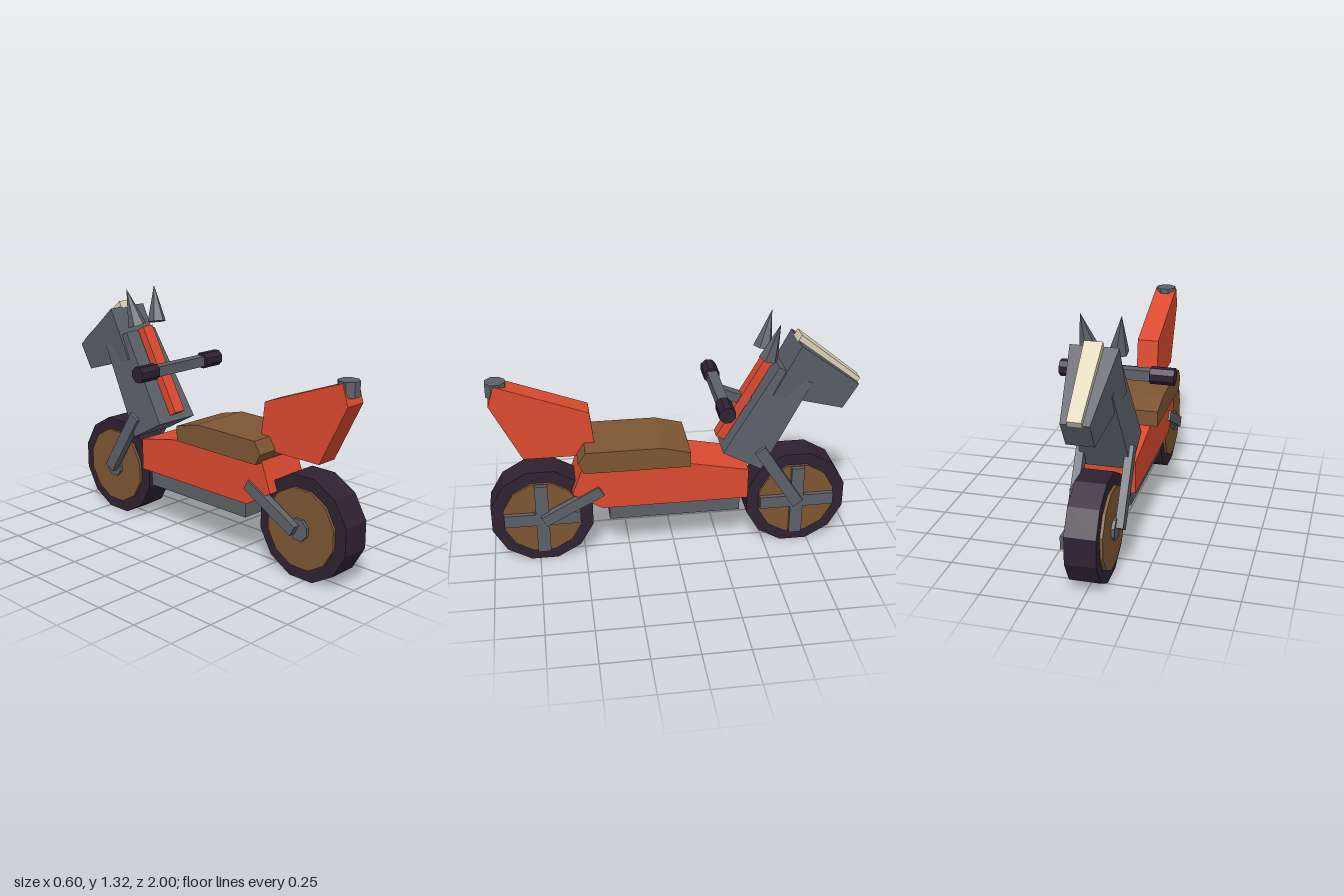
import * as THREE from 'three';
import { ConvexGeometry } from 'three/addons/geometries/ConvexGeometry.js';

const mat = (name, color) => new THREE.MeshStandardMaterial({ name, color, flatShading: true });

export function createModel() {
  const model = new THREE.Group();
  model.name = 'horseMotorcycle';
  const grey = mat('grey', 0x5c6168), red = mat('red', 0xdc4a2f), brown = mat('brown', 0x7d5633);
  const black = mat('tyreBlack', 0x2f2231), cream = mat('cream', 0xdcd2b6);

  const add = (name, geometry, material, parent = model) => {
    const mesh = new THREE.Mesh(geometry, material);
    mesh.name = name;
    parent.add(mesh);
    return mesh;
  };

  // Convex slab from side profile points [z, y, halfWidth]
  const slab = (name, material, points) => add(name, new ConvexGeometry(
    points.flatMap(([z, y, w]) => [new THREE.Vector3(w, y, z), new THREE.Vector3(-w, y, z)])), material);

  // Straight bar between two [z, y] points
  const beam = (name, material, x, width, height, [z0, y0], [z1, y1]) => {
    const mesh = add(name, new THREE.BoxGeometry(width, height, Math.hypot(z1 - z0, y1 - y0)), material);
    mesh.position.set(x, (y0 + y1) / 2, (z0 + z1) / 2);
    mesh.rotation.x = -Math.atan2(y1 - y0, z1 - z0);
    return mesh;
  };

  // Cylinder lying along x, with a flat facing up
  const axleCylinder = (radius, length, sides) =>
    new THREE.CylinderGeometry(radius, radius, length, sides)
      .rotateY(Math.PI / sides).rotateZ(Math.PI / 2);

  // Wheels, with a cross brace on the left side only
  for (const [name, z] of [['tailWheel', 0.725], ['headWheel', -0.672]]) {
    const wheel = new THREE.Group();
    wheel.name = name;
    wheel.position.set(0, 0.273, z);
    add('tyre', axleCylinder(0.2826, 0.16, 12), black, wheel);
    add('wheelDisc', axleCylinder(0.216, 0.19, 12), brown, wheel);
    add('hub', axleCylinder(0.06, 0.222, 8), grey, wheel);
    add('uprightSpoke', new THREE.BoxGeometry(0.035, 0.41, 0.07), grey, wheel).position.x = 0.1025;
    add('levelSpoke', new THREE.BoxGeometry(0.035, 0.07, 0.41), grey, wheel).position.x = 0.1025;
    model.add(wheel);
  }

  // Body, engine block, seat and tail
  add('engineBlock', new THREE.BoxGeometry(0.2, 0.11, 0.715), grey).position.set(0, 0.29, 0.005);
  slab('body', red, [[0.5, 0.59, 0.135], [0.56, 0.425, 0.135], [0.4, 0.33, 0.135],
    [-0.39, 0.33, 0.135], [-0.39, 0.505, 0.135], [-0.04, 0.575, 0.135]]);
  slab('seat', brown, [[0.485, 0.695, 0.175], [0.08, 0.695, 0.175], [-0.07, 0.657, 0.175],
    [-0.07, 0.573, 0.175], [0.495, 0.573, 0.175], [0.525, 0.632, 0.175]]);
  slab('tail', red, [[0.93, 1.05, 0.06], [0.45, 0.87, 0.06], [0.42, 0.62, 0.06],
    [0.805, 0.62, 0.06], [0.965, 0.94, 0.06]]);
  add('tailCap', new THREE.CylinderGeometry(0.056, 0.056, 0.078, 8).rotateY(Math.PI / 8), grey)
    .position.set(0, 1.016, 0.922);

  // Neck, head, blaze and mane
  slab('neck', grey, [[-0.25, 0.615, 0.131], [-0.46, 0.5, 0.131], [-0.72, 0.985, 0.105], [-0.54, 1.085, 0.105]]);
  slab('head', grey, [[-0.65, 1.205, 0.12], [-0.51, 0.935, 0.12], [-0.905, 0.81, 0.07], [-0.985, 0.945, 0.07]]);
  slab('blaze', cream, [[-0.645, 1.2, 0.046], [-0.665, 1.235, 0.046], [-1, 0.965, 0.035], [-0.98, 0.935, 0.035]]);
  beam('mane', red, 0, 0.07, 0.05, [-0.248, 0.657], [-0.503, 1.103]);

  // Paired swing arms, forks, grips and ears
  for (const [side, s] of [['left', 1], ['right', -1]]) {
    beam(side + 'SwingArm', grey, s * 0.126, 0.042, 0.06, [0.717, 0.272], [0.405, 0.44]);
    beam(side + 'Fork', grey, s * 0.126, 0.042, 0.065, [-0.672, 0.272], [-0.448, 0.622]);
    add(side + 'Grip', axleCylinder(0.045, 0.125, 8), black).position.set(s * 0.2375, 0.927, -0.235);

    const base = new THREE.Vector3(s * 0.073, 1.128, -0.485);
    const tip = new THREE.Vector3(s * 0.102, 1.325, -0.536);
    const axis = tip.clone().sub(base);
    const ear = add(side + 'Ear', new THREE.ConeGeometry(0.052, axis.length(), 6), grey);
    ear.position.copy(base).lerp(tip, 0.5);
    ear.quaternion.setFromUnitVectors(new THREE.Vector3(0, 1, 0), axis.normalize());
  }

  // Handlebar and its stem
  add('handlebar', new THREE.BoxGeometry(0.37, 0.055, 0.055), grey).position.set(0, 0.927, -0.235);
  beam('handlebarStem', grey, 0, 0.06, 0.05, [-0.235, 0.927], [-0.46, 0.835]);

  return model;
}
